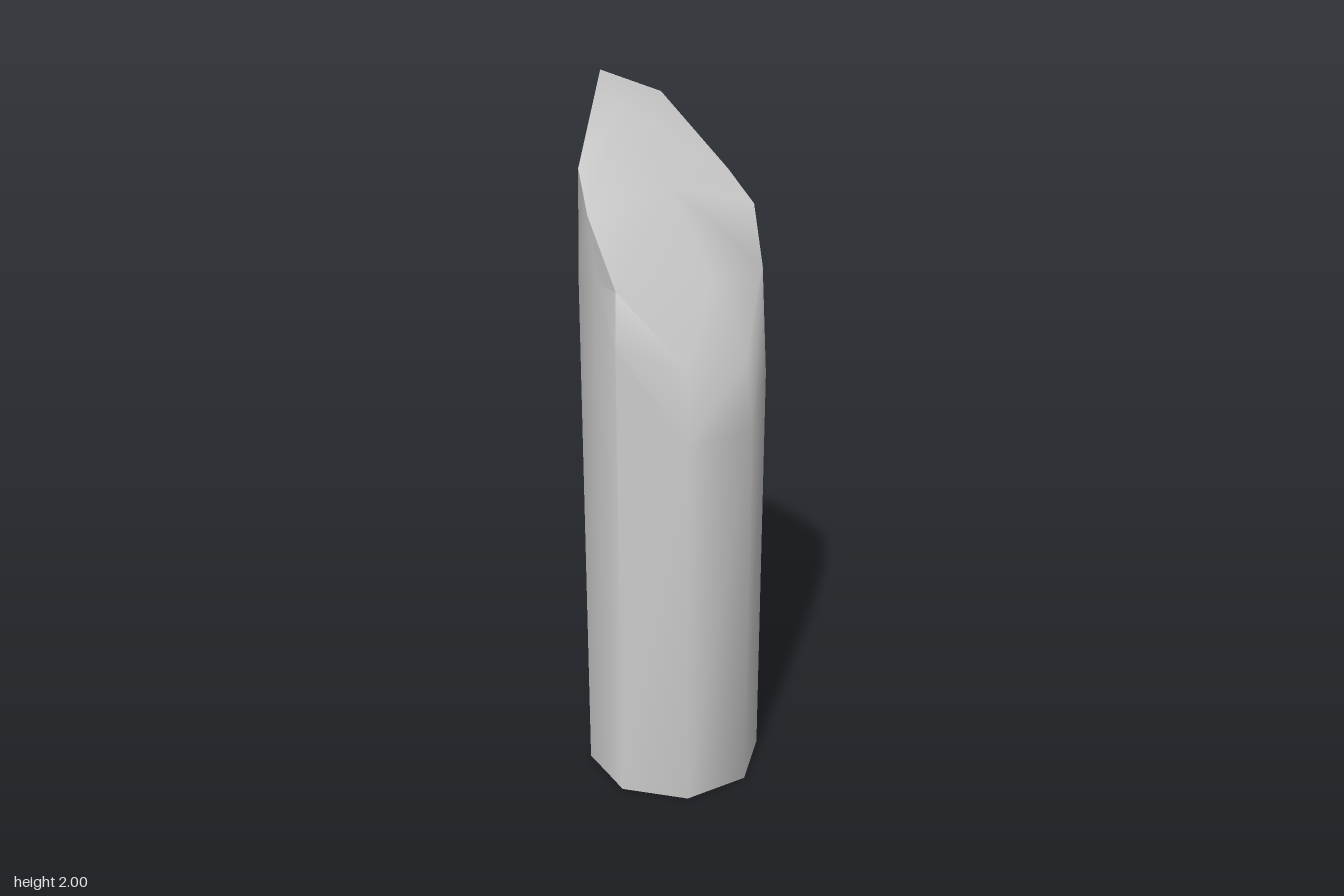
import * as THREE from 'three';
import { toCreasedNormals } from 'three/addons/utils/BufferGeometryUtils.js';

// Columns round the post from the front towards +x: [wall x, wall z, wall top y, rim x, rim y, rim z]
const columns = [
  [0, 0.255, 1.1, 0, 1.3, 0.235],
  [0.18, 0.18, 1.2, 0.17, 1.5, 0.168],
  [0.215, 0.095, 1.4, 0.23, 1.65, 0.097],
  [0.255, 0, 1.5, 0.245, 1.73, 0],
  [0.18, -0.18, 1.5, 0.17, 1.93, -0.17],
  [0, -0.255, 1.5, 0, 2, -0.24],
  [-0.18, -0.18, 1.5, -0.18, 1.78, -0.172],
  [-0.217, -0.09, 1.5, -0.24, 1.68, -0.095],
  [-0.255, 0, 1.35, -0.25, 1.5, 0],
  [-0.18, 0.18, 1.1, -0.16, 1.3, 0.16],
];

function makeMesh(name, points, index) {
  const geometry = new THREE.BufferGeometry();
  geometry.setAttribute('position', new THREE.Float32BufferAttribute(points.flat(), 3));
  geometry.setIndex(index);
  const material = new THREE.MeshStandardMaterial({ color: 0xcccccc, side: THREE.DoubleSide });
  const mesh = new THREE.Mesh(toCreasedNormals(geometry, 0.9), material);
  mesh.name = name;
  return mesh;
}

export function createModel() {
  const group = new THREE.Group();
  group.name = 'cutPost';
  const n = columns.length;

  // Three rings: open foot, top of the straight wall, slanted rim
  const points = [
    ...columns.map(([x, z]) => [x, 0, z]),
    ...columns.map(([x, z, y]) => [x, y, z]),
    ...columns.map(([, , , x, y, z]) => [x, y, z]),
  ];
  const index = [];
  for (let ring = 0; ring < 2; ring++) {
    for (let i = 0; i < n; i++) {
      const a = ring * n + i, b = ring * n + (i + 1) % n;
      index.push(a, b, b + n, a, b + n, a + n);
    }
  }

  // Slanted cut: rim joined to three points down its middle
  const F = 3 * n, M = F + 1, B = F + 2;
  points.push([0, 1.5, 0.12], [0, 1.72, -0.01], [0, 1.91, -0.18]);
  const r = (i) => 2 * n + i;
  index.push(
    r(0), r(1), F, r(9), r(0), F, r(8), r(9), F,
    r(8), F, M, F, r(1), M, r(1), r(2), M, r(2), r(3), M, r(7), r(8), M,
    r(3), B, M, r(7), M, B,
    r(3), r(4), B, r(4), r(5), B, r(5), r(6), B, r(6), r(7), B,
  );
  group.add(makeMesh('post', points, index));
  return group;
}
